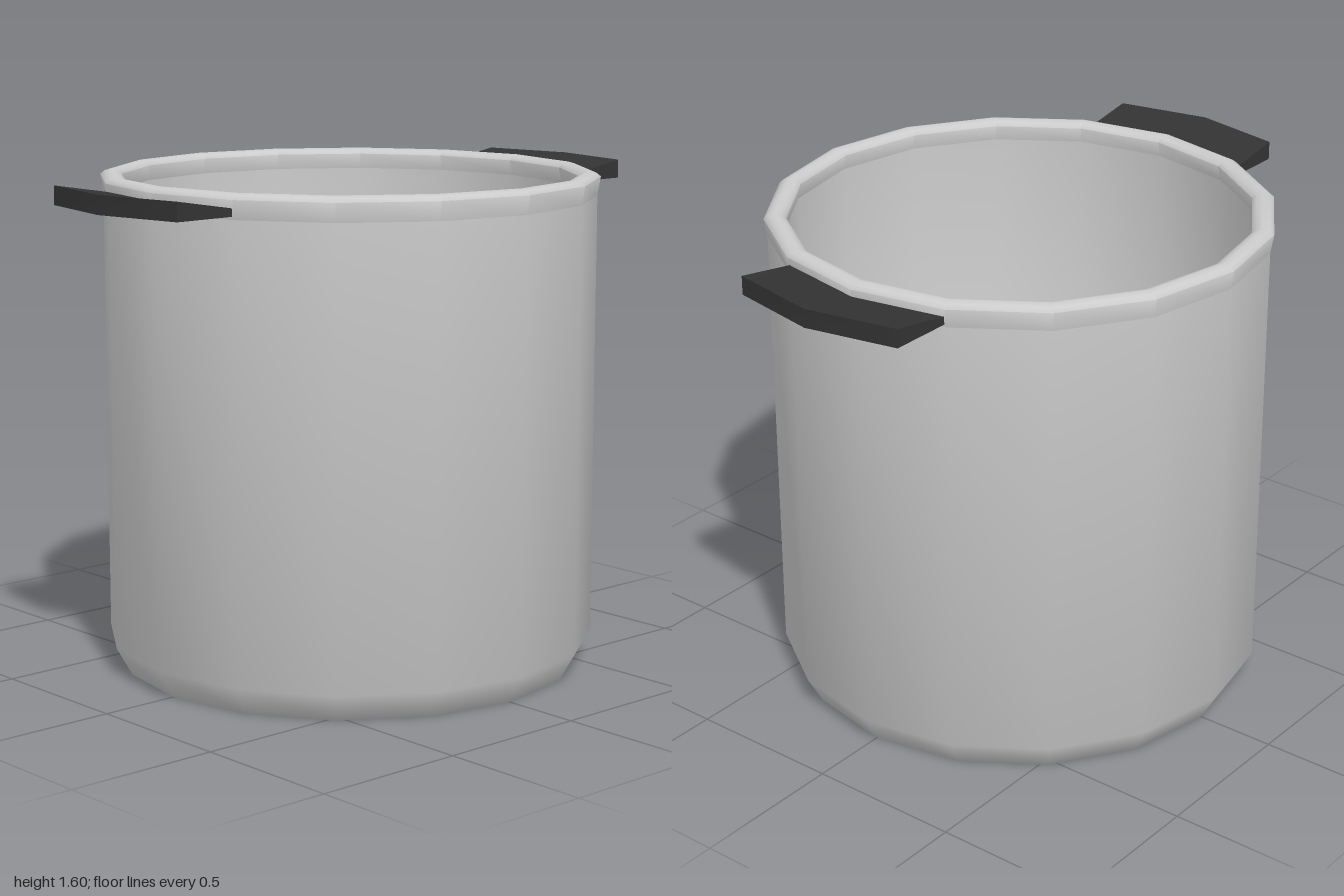
import * as THREE from 'three';
import { toCreasedNormals } from 'three/addons/utils/BufferGeometryUtils.js';

const SIDES = 16;

function lathe(name, profile, material) {
  const points = profile.map(([r, y]) => new THREE.Vector2(r, y));
  const geometry = toCreasedNormals(new THREE.LatheGeometry(points, SIDES), 1.1);
  const mesh = new THREE.Mesh(geometry, material);
  mesh.name = name;
  return mesh;
}

// Tab handle swept through three cross-sections along x, tapering towards the pot
function handleGeometry() {
  const sections = [[-0.3, 0.735, 0.94], [0, 0.79, 1], [0.3, 0.735, 0.94]];
  const positions = [];
  for (const [x, inner, outer] of sections) {
    positions.push(x, 1.53, inner, x, 1.555, inner, x, 1.59, outer, x, 1.53, outer);
  }
  const index = [];
  for (let i = 0; i < sections.length - 1; i++) {
    for (let k = 0; k < 4; k++) {
      const a = i * 4 + k, b = i * 4 + (k + 1) % 4;
      index.push(a, b, a + 4, b, b + 4, a + 4);
    }
  }
  index.push(0, 2, 1, 0, 3, 2, 8, 9, 10, 8, 10, 11);
  const geometry = new THREE.BufferGeometry();
  geometry.setAttribute('position', new THREE.Float32BufferAttribute(positions, 3));
  geometry.setIndex(index);
  return toCreasedNormals(geometry, 0.5);
}

export function createModel() {
  const model = new THREE.Group();
  model.name = 'cookingPot';
  const metal = new THREE.MeshStandardMaterial({ color: 0xcccccc });
  const dark = new THREE.MeshStandardMaterial({ color: 0x333333 });

  // Outer shell with a bevelled foot
  model.add(lathe('outerShell', [[0, 0], [0.74, 0], [0.79, 0.09], [0.79, 1.52]], metal));

  // Rolled rim
  model.add(lathe('rim', [
    [0.79, 1.52], [0.8, 1.58], [0.785, 1.592], [0.765, 1.598], [0.745, 1.592], [0.73, 1.58], [0.74, 1.53],
  ], metal));

  // Inner wall and floor
  model.add(lathe('innerWall', [[0.74, 1.53], [0.74, 0.1], [0.7, 0.03], [0, 0.03]], metal));

  // Front and back handles
  const geometry = handleGeometry();
  ['frontHandle', 'backHandle'].forEach((name, i) => {
    const handle = new THREE.Mesh(geometry, dark);
    handle.name = name;
    handle.rotation.y = i * Math.PI;
    model.add(handle);
  });

  return model;
}
